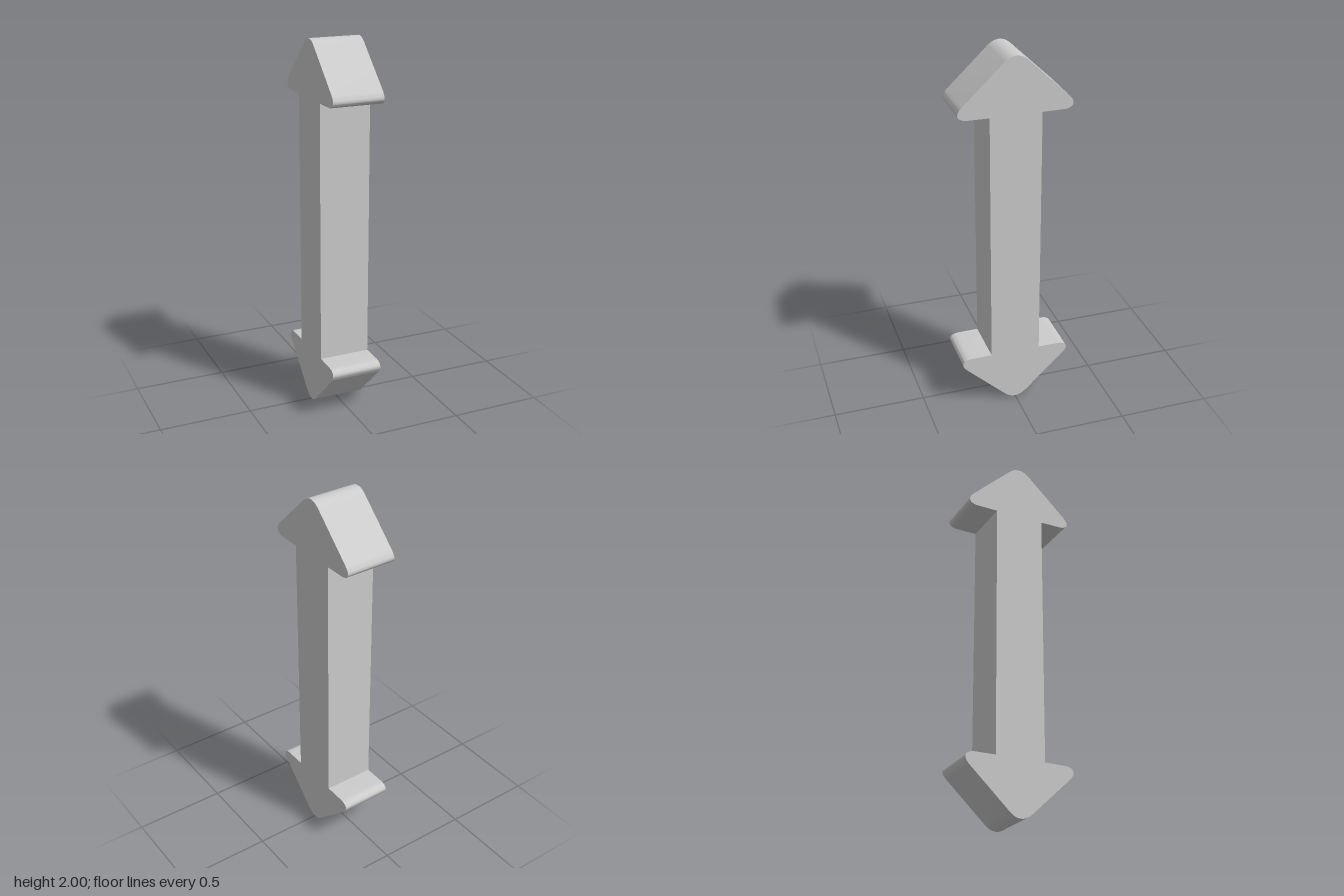
import * as THREE from 'three';
import { toCreasedNormals } from 'three/addons/utils/BufferGeometryUtils.js';

const WIDTH = 0.276;

export function createModel() {
  // One quarter of the outline, from the shaft corner round the barb to the tip
  const quarter = new THREE.Path();
  quarter.moveTo(0.137, 0.697);
  quarter.lineTo(0.255, 0.698);
  quarter.bezierCurveTo(0.295, 0.70, 0.322, 0.726, 0.275, 0.77);
  quarter.lineTo(0.062, 0.972);
  quarter.quadraticCurveTo(0.0325, 1, 0, 1);
  const right = quarter.getPoints(12);

  // Mirror it into a full arrowhead, then turn that half round for the lower one
  const left = right.slice(0, -1).reverse().map((p) => new THREE.Vector2(-p.x, p.y));
  const upper = [...right, ...left];
  const lower = upper.map((p) => new THREE.Vector2(-p.x, -p.y));
  const outline = new THREE.Shape([...upper, ...lower]);

  // Extrude across the width and stand it on the ground
  let geometry = new THREE.ExtrudeGeometry(outline, { depth: WIDTH, bevelEnabled: false });
  geometry.translate(0, 0, -WIDTH / 2);
  geometry.rotateY(Math.PI / 2);
  geometry.translate(0, 1, 0);
  geometry = toCreasedNormals(geometry, 0.6);

  const arrow = new THREE.Mesh(geometry, new THREE.MeshStandardMaterial({ color: 0xcccccc }));
  arrow.name = 'doubleHeadedArrow';

  const model = new THREE.Group();
  model.name = 'arrowModel';
  model.add(arrow);
  return model;
}
